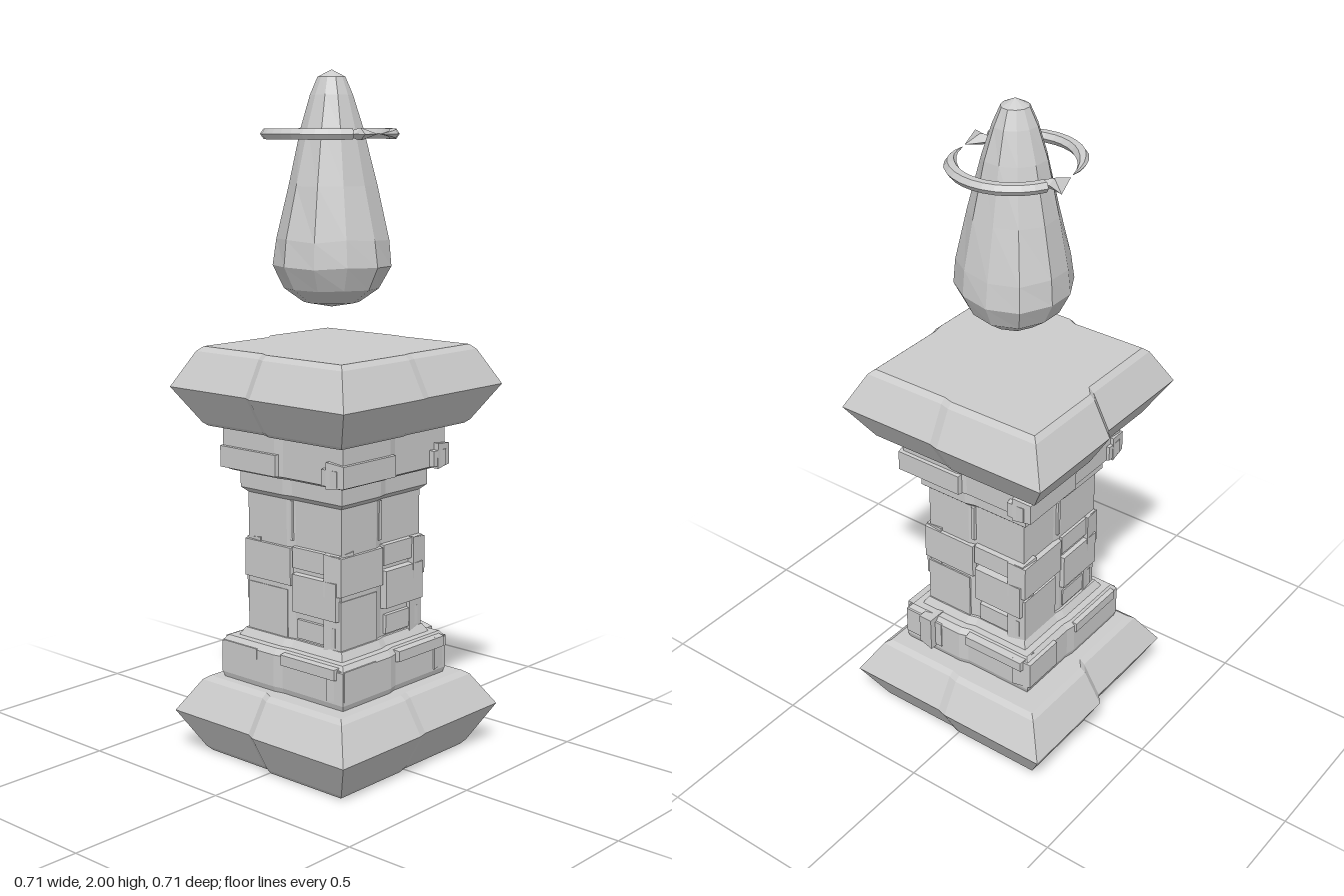
import * as THREE from 'three';

const mat = new THREE.MeshStandardMaterial({ color: 0xcccccc, flatShading: true });

function add(parent, name, geometry) {
  const mesh = new THREE.Mesh(geometry, mat);
  mesh.name = name;
  parent.add(mesh);
  return mesh;
}

// Skin over closed rings of equal point count, capped with a fan at both ends
function loft(rings) {
  const n = rings[0].length, pos = [], idx = [];
  rings.forEach(r => r.forEach(p => pos.push(p.x, p.y, p.z)));
  for (let r = 0; r < rings.length - 1; r++) {
    for (let i = 0; i < n; i++) {
      const a = r * n + i, b = r * n + (i + 1) % n;
      idx.push(a, b, b + n, a, b + n, a + n);
    }
  }
  [0, rings.length - 1].forEach((r, end) => {
    const c = rings[r].reduce((s, p) => s.add(p), new THREE.Vector3()).divideScalar(n);
    const ci = pos.length / 3;
    pos.push(c.x, c.y, c.z);
    for (let i = 0; i < n; i++) {
      const a = r * n + i, b = r * n + (i + 1) % n;
      if (end) idx.push(ci, a, b); else idx.push(ci, b, a);
    }
  });
  const g = new THREE.BufferGeometry();
  g.setAttribute('position', new THREE.Float32BufferAttribute(pos, 3));
  g.setIndex(idx);
  const flat = g.toNonIndexed();
  flat.computeVertexNormals();
  return flat;
}

// Square outline whose sides each step at the middle; steps = two offsets per side
function stepped(y, h, steps) {
  const pts = [];
  for (let k = 0; k < 4; k++) {
    const a = steps[2 * k], b = steps[2 * k + 1], prev = steps[(2 * k + 7) % 8];
    for (const [u, v] of [[-h - prev, h + a], [-0.025, h + a], [0.005, h + b]]) {
      pts.push(new THREE.Vector3(u, y, v).applyAxisAngle(new THREE.Vector3(0, 1, 0), k * Math.PI / 2));
    }
  }
  return pts;
}

const stone = (profile, steps) => loft(profile.map(([y, h]) => stepped(y, h, steps)));

// Box standing out along +z with a narrowed outer face
function chip(w, h, d) {
  const g = new THREE.BoxGeometry(w, h, d), p = g.attributes.position;
  for (let i = 0; i < p.count; i++) {
    if (p.getZ(i) > 0) {
      p.setX(i, p.getX(i) - Math.sign(p.getX(i)) * 0.007);
      p.setY(i, p.getY(i) - Math.sign(p.getY(i)) * 0.007);
    }
  }
  g.computeVertexNormals();
  return g;
}

function createPedestal() {
  const g = new THREE.Group();
  g.name = 'pedestal';
  const slabSteps = [0.007, 0, 0, 0.008, 0.01, -0.014, -0.002, 0.013];

  // Wide bevelled slabs at the foot and head
  const slab = [[0, 0.268], [0.014, 0.281], [0.128, 0.345], [0.222, 0.287], [0.234, 0.27]];
  add(g, 'baseSlab', stone(slab, slabSteps));
  const cap = [[0.99, 0.268], [1.0, 0.28], [1.105, 0.345], [1.208, 0.291], [1.222, 0.275]];
  add(g, 'capSlab', stone(cap, slabSteps));

  // Narrower courses, set slightly off centre
  const core = new THREE.Group();
  core.name = 'column';
  core.position.set(-0.01, 0, 0.01);
  g.add(core);
  const s = [0.006, -0.002, 0.004, -0.004, -0.002, 0.004, 0.006, 0];
  add(core, 'lowerPlinth', stone([[0.22, 0.222], [0.25, 0.232], [0.345, 0.232], [0.362, 0.218]], s));
  add(core, 'plinthLip', stone([[0.355, 0.2], [0.385, 0.182]], s));
  add(core, 'shaft', stone([[0.36, 0.174], [0.82, 0.174]], s));
  add(core, 'neck', stone([[0.795, 0.174], [0.81, 0.19], [0.865, 0.19], [0.875, 0.18]], s));
  add(core, 'upperPlinth', stone([[0.86, 0.205], [0.87, 0.225], [0.995, 0.225]], s));

  // Raised blocks repeated on each face: [name, u, y, width, height, face distance]
  const chips = [
    ['upperBlockLeft', -0.122, 0.902, 0.235, 0.076, 0.24],
    ['upperBlockRight', 0.19, 0.895, 0.07, 0.06, 0.238],
    ['neckStrip', -0.008, 0.735, 0.025, 0.13, 0.181],
    ['bandLeft', -0.095, 0.6, 0.195, 0.125, 0.188],
    ['bandRight', 0.09, 0.63, 0.19, 0.075, 0.186],
    ['shaftBlock', 0.09, 0.527, 0.18, 0.125, 0.192],
    ['lowerShaftBlock', 0.09, 0.42, 0.16, 0.07, 0.182],
    ['lowerShaftLeft', -0.1, 0.455, 0.17, 0.16, 0.182],
    ['plinthBlockLeft', -0.16, 0.305, 0.15, 0.1, 0.239],
    ['plinthBlockRight', 0.11, 0.338, 0.22, 0.045, 0.243],
  ];
  for (let k = 0; k < 4; k++) {
    const face = new THREE.Group();
    face.name = ['front', 'right', 'back', 'left'][k] + 'Blocks';
    face.rotation.y = k * Math.PI / 2;
    core.add(face);
    for (const [name, u, y, w, h, v] of chips) {
      add(face, name, chip(w, h, 0.06)).position.set(u, y, v - 0.03);
    }
  }
  // One bulky stone at the right front of the plinth
  add(core, 'plinthCornerStone', chip(0.1, 0.11, 0.05)).position.set(0.21, 0.31, 0.14);
  return g;
}

// Faceted teardrop with gently irregular facets
function createCrystal() {
  const profile = [[0, 1.335], [0.08, 1.35], [0.135, 1.39], [0.168, 1.455], [0.16, 1.53], [0.127, 1.68],
    [0.09, 1.84], [0.062, 1.93], [0.04, 1.98], [0, 2]];
  const geo = new THREE.LatheGeometry(profile.map(p => new THREE.Vector2(...p)), 11);
  const p = geo.attributes.position;
  for (let i = 0; i < p.count; i++) {
    const x = p.getX(i), y = p.getY(i), z = p.getZ(i), a = Math.atan2(z, x);
    const f = 1 + 0.035 * Math.sin(3 * a + y * 7);
    p.setXYZ(i, x * f, y + (y < 1.6 ? 0.15 * Math.hypot(x, z) * Math.sin(4 * a) * (y - 1.335) : 0), z * f);
  }
  return geo;
}

// Curved arrow: tapered six-sided tail and a barbed flat head
function createArrow() {
  const g = new THREE.Group();
  const rings = [], N = 14;
  for (let i = 0; i <= N; i++) {
    const phi = THREE.MathUtils.degToRad(-95 - 148 * i / N);
    const k = Math.min(1, 0.06 + i / 4);
    const ring = [];
    for (let j = 0; j < 6; j++) {
      const a = j * Math.PI / 3, w = 0.02 * k * Math.cos(a);
      ring.push(new THREE.Vector3((0.183 + w) * Math.cos(phi), -0.017 * k * Math.sin(a), (0.172 + w) * Math.sin(phi)));
    }
    rings.push(ring);
  }
  add(g, 'arrowTail', loft(rings));
  const outline = [[-0.08, 0.115], [-0.075, 0.16], [-0.1, 0.217], [0, 0.176]];
  const level = (y, k) => outline.map(([x, z]) =>
    new THREE.Vector3(-0.06 + (x + 0.06) * k, y, 0.165 + (z - 0.165) * k));
  add(g, 'arrowHead', loft([level(-0.016, 0.1), level(0, 1), level(0.016, 0.1)]));
  return g;
}

export function createModel() {
  const model = new THREE.Group();
  model.name = 'pedestalWithCrystal';
  model.add(createPedestal());
  add(model, 'crystal', createCrystal()).position.set(-0.018, 0, 0.004);

  // Two arrows chase each other around the crystal
  for (let i = 0; i < 2; i++) {
    const arrow = createArrow();
    arrow.name = i ? 'rightArrow' : 'leftArrow';
    arrow.position.set(-0.02, 1.823, 0);
    arrow.rotation.y = i * Math.PI;
    model.add(arrow);
  }
  return model;
}
